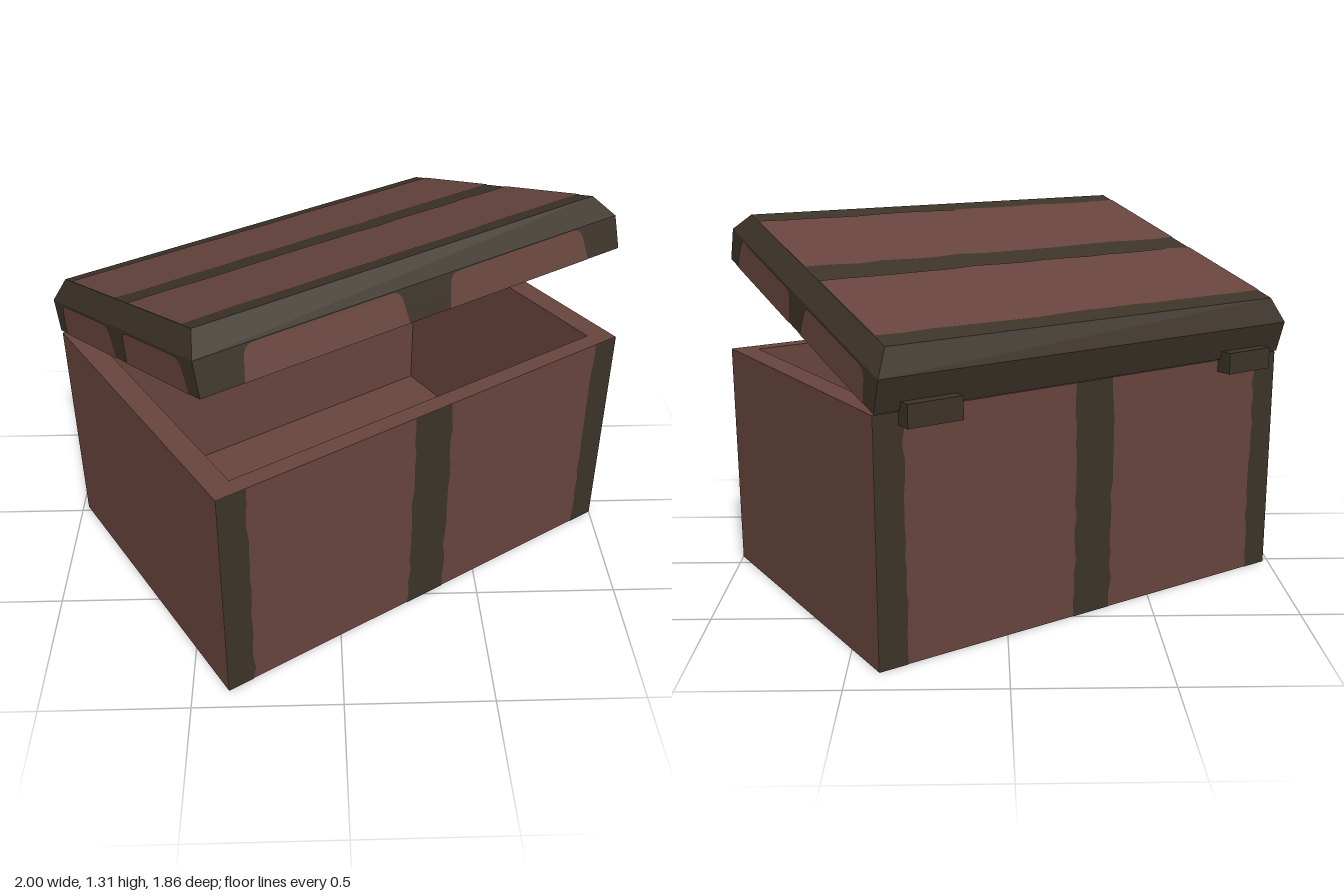
import * as THREE from 'three';

const HALF_L = 0.815, HALF_D = 0.563, BASE_H = 0.815; // chest body
const LID_D = 1.137, SKIRT_H = 0.115, CROWN_H = 0.073; // lid
const LIFT = 0.002; // how far painted plates stand off the surface

let seed = 7;
const rand = () => ((seed = (seed * 16807) % 2147483647) / 2147483647);

// Upright strip standing on y = 0 from x0 to x1; chosen long sides are hand-cut
function strip(x0, x1, h, wavy0, wavy1) {
  const n = 16, s = new THREE.Shape();
  const off = (on) => (on ? (rand() - 0.5) * 0.012 : 0);
  s.moveTo(x0 + off(wavy0), 0);
  s.lineTo(x1 + off(wavy1), 0);
  for (let i = 1; i <= n; i++) s.lineTo(x1 + off(wavy1), (h * i) / n);
  for (let i = n; i >= 1; i--) s.lineTo(x0 + off(wavy0), (h * i) / n);
  s.closePath();
  return new THREE.ShapeGeometry(s);
}

// Upright panel with a straight foot and rounded upper corners
function roundedPanel(x0, x1, h) {
  const s = new THREE.Shape(), r = 0.04, lean = 0.012;
  s.moveTo(x0, 0);
  s.lineTo(x1, 0);
  s.lineTo(x1 - lean, h - r);
  s.quadraticCurveTo(x1 - lean - 0.005, h, x1 - lean - r, h);
  s.lineTo(x0 + lean + r, h);
  s.quadraticCurveTo(x0 + lean + 0.005, h, x0 + lean, h - r);
  s.closePath();
  return new THREE.ShapeGeometry(s, 4);
}

export function createModel() {
  const wood = new THREE.MeshStandardMaterial({ color: 0x67443d });
  wood.name = 'redWood';
  const trim = new THREE.MeshStandardMaterial({ color: 0x3c3328 });
  trim.name = 'darkTrim';

  const add = (parent, name, geometry, material) => {
    const mesh = new THREE.Mesh(geometry, material);
    mesh.name = name;
    parent.add(mesh);
    return mesh;
  };

  const model = new THREE.Group();
  model.name = 'chest';
  const chest = new THREE.Group();
  chest.name = 'turnedChest';
  chest.position.set(0.01, 0, 0.02);
  chest.rotation.y = 0.562;
  model.add(chest);

  // Body: hollow walls and a floor
  const rect = (Path, a, b) => new Path([[-a, -b], [a, -b], [a, b], [-a, b]].map((p) => new THREE.Vector2(...p)));
  const outline = rect(THREE.Shape, HALF_L, HALF_D);
  outline.holes.push(rect(THREE.Path, HALF_L - 0.08, HALF_D - 0.06));
  const walls = new THREE.ExtrudeGeometry(outline, { depth: BASE_H, bevelEnabled: false });
  add(chest, 'bodyWalls', walls.rotateX(-Math.PI / 2), wood);
  const floor = new THREE.BoxGeometry(2 * HALF_L - 0.16, 0.08, 2 * HALF_D - 0.12);
  add(chest, 'bodyFloor', floor.translate(0, 0.04, 0), wood);

  // Vertical straps on the front and back
  for (const side of ['front', 'back']) {
    const face = new THREE.Group();
    face.name = side + 'Straps';
    face.rotation.y = side === 'front' ? 0 : Math.PI;
    add(face, 'cornerStrap', strip(-HALF_L, -HALF_L + 0.1, BASE_H, false, true), trim);
    add(face, 'middleStrap', strip(-0.075, 0.075, BASE_H, true, true), trim);
    add(face, 'cornerStrap', strip(HALF_L - 0.1, HALF_L, BASE_H, true, false), trim);
    face.children.forEach((m) => (m.position.z = HALF_D + LIFT));
    chest.add(face);
  }

  // Hinges
  for (const x of [-0.635, 0.635]) {
    add(chest, 'hinge', new THREE.BoxGeometry(0.19, 0.075, 0.12), trim).position.set(x, 0.812, -0.562);
  }

  // Lid, propped open about its back lower edge
  const lid = new THREE.Group();
  lid.name = 'lid';
  lid.position.set(0, 0.82, -0.573);
  lid.rotation.x = -0.295;
  chest.add(lid);

  const skirt = new THREE.BoxGeometry(2 * HALF_L, SKIRT_H, LID_D);
  add(lid, 'lidSkirt', skirt.translate(0, SKIRT_H / 2, LID_D / 2), [trim, trim, trim, wood, trim, trim]);

  // Bevelled crown: a box whose upper corners are drawn inwards
  const insetX = 0.042, insetZ = 0.0565;
  const crown = new THREE.BoxGeometry(2 * HALF_L, CROWN_H, LID_D);
  const p = crown.attributes.position;
  for (let i = 0; i < p.count; i++) {
    if (p.getY(i) < 0) continue;
    p.setX(i, p.getX(i) - Math.sign(p.getX(i)) * insetX);
    p.setZ(i, p.getZ(i) - Math.sign(p.getZ(i)) * insetZ);
  }
  crown.computeVertexNormals();
  add(lid, 'lidCrown', crown.translate(0, SKIRT_H + CROWN_H / 2, LID_D / 2), trim);

  // Two long boards on the lid top
  const topHalfL = HALF_L - insetX, topHalfD = LID_D / 2 - insetZ;
  for (const [a, b] of [[-topHalfD + 0.065, -0.05], [0.05, topHalfD - 0.065]]) {
    const board = strip(a, b, 2 * topHalfL, true, true);
    board.translate(0, -topHalfL, 0).rotateX(-Math.PI / 2).rotateY(Math.PI / 2);
    add(lid, 'lidTopBoard', board, wood).position.set(0, SKIRT_H + CROWN_H + LIFT, LID_D / 2);
  }

  // Red panels on the lid's front and ends
  for (const s of [-1, 1]) {
    const front = roundedPanel(-0.295, 0.295, 0.112);
    add(lid, 'lidFrontPanel', front, wood).position.set(s * 0.375, 0, LID_D + LIFT);
    for (const z of [-0.272, 0.272]) {
      const end = roundedPanel(-0.23, 0.23, 0.108).rotateY((s * Math.PI) / 2);
      add(lid, 'lidEndPanel', end, wood).position.set(s * (HALF_L + LIFT), 0, LID_D / 2 + z);
    }
  }

  return model;
}
